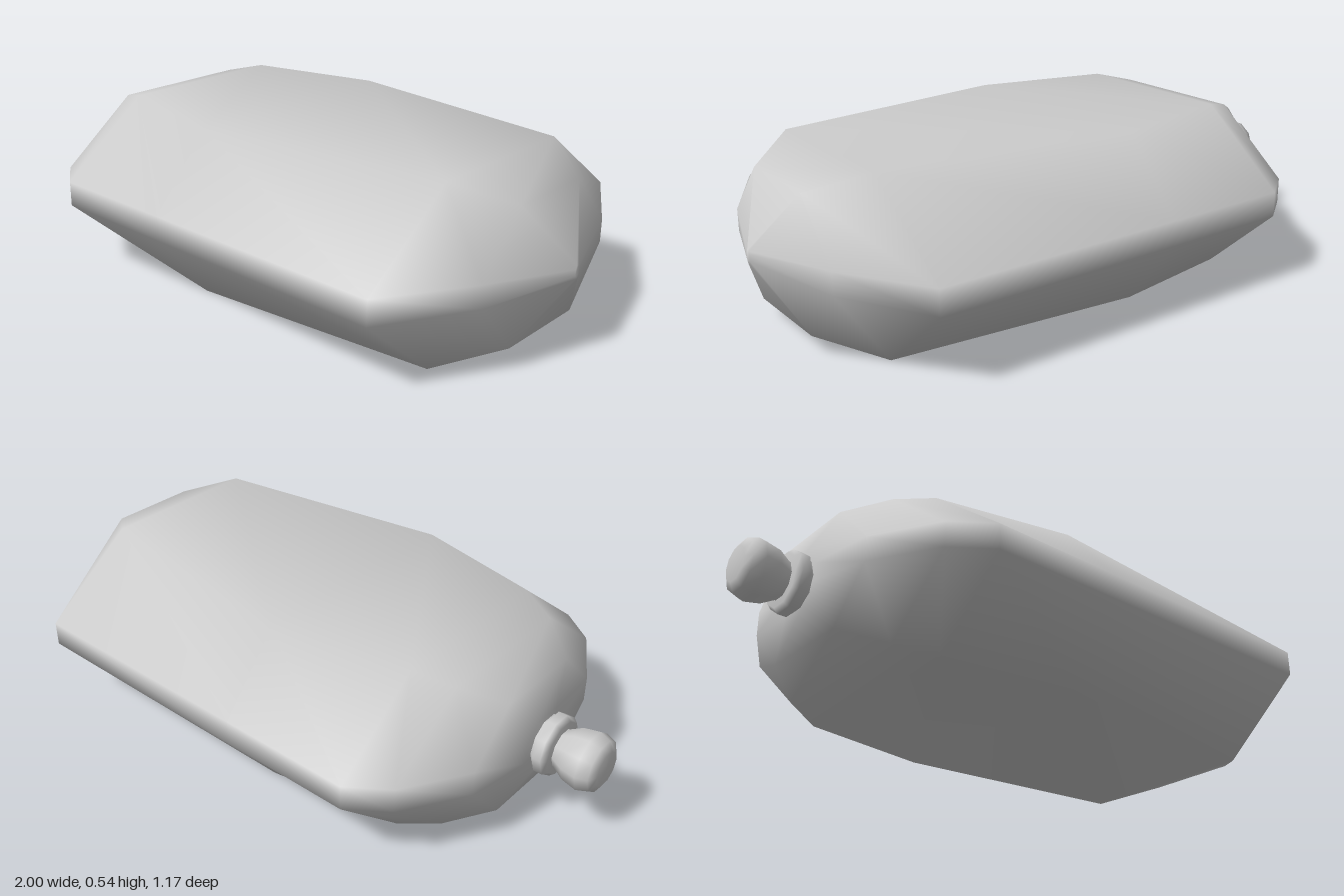
import * as THREE from 'three';

const MID_Y = 0.27;

// Eight-sided rings along x: [x, half width, half height, half top width, half bottom width, half side height]
const RINGS = [
  [-0.80, 0.10, 0.09, 0.05, 0.05, 0.03],
  [-0.76, 0.30, 0.19, 0.15, 0.16, 0.04],
  [-0.64, 0.50, 0.24, 0.24, 0.27, 0.04],
  [-0.52, 0.587, 0.27, 0.29, 0.33, 0.04],
  [-0.08, 0.587, 0.27, 0.39, 0.40, 0.04],
  [0.74, 0.587, 0.27, 0.27, 0.32, 0.04],
  [0.90, 0.31, 0.21, 0.15, 0.16, 0.035],
  [1.00, 0.01, 0.02, 0.005, 0.005, 0.01],
];

// Smooth-shaded skin stretched over the rings, closed at both ends
function loftBody() {
  const positions = [];
  const index = [];
  const n = 8;
  for (const [x, w, h, top, bottom, side] of RINGS) {
    const corners = [
      [w, -side], [w, side], [top, h], [-top, h],
      [-w, side], [-w, -side], [-bottom, -h], [bottom, -h],
    ];
    for (const [z, y] of corners) positions.push(x, MID_Y + y, z);
  }
  for (let r = 0; r < RINGS.length - 1; r++) {
    for (let i = 0; i < n; i++) {
      const a = r * n + i;
      const b = r * n + ((i + 1) % n);
      index.push(a, a + n, b, b, a + n, b + n);
    }
  }
  const last = (RINGS.length - 1) * n;
  for (let i = 1; i < n - 1; i++) {
    index.push(0, i, i + 1);
    index.push(last, last + i + 1, last + i);
  }
  const geometry = new THREE.BufferGeometry();
  geometry.setAttribute('position', new THREE.Float32BufferAttribute(positions, 3));
  geometry.setIndex(index);
  geometry.computeVertexNormals();
  return geometry;
}

// Turned part around the x axis; profile is [radius, distance from the centre towards -x]
function turned(name, profile, sides, material) {
  const points = profile.map(([r, d]) => new THREE.Vector2(r, d));
  const mesh = new THREE.Mesh(new THREE.LatheGeometry(points, sides), material);
  mesh.name = name;
  mesh.rotation.z = Math.PI / 2;
  mesh.position.set(0, 0.26, 0.012);
  return mesh;
}

export function createModel() {
  const material = new THREE.MeshStandardMaterial({ color: 0xcccccc });
  const group = new THREE.Group();
  group.name = 'flask';

  const body = new THREE.Mesh(loftBody(), material);
  body.name = 'body';
  group.add(body);

  // Collar where the neck leaves the body
  group.add(turned('neckCollar', [
    [0.085, 0.78], [0.085, 0.805], [0.098, 0.812], [0.098, 0.84], [0.085, 0.856], [0, 0.856],
  ], 10, material));

  // Rounded stopper
  group.add(turned('stopper', [
    [0.06, 0.845], [0.062, 0.86], [0.085, 0.90], [0.095, 0.95], [0.082, 0.985], [0.055, 1], [0, 1],
  ], 10, material));

  return group;
}
